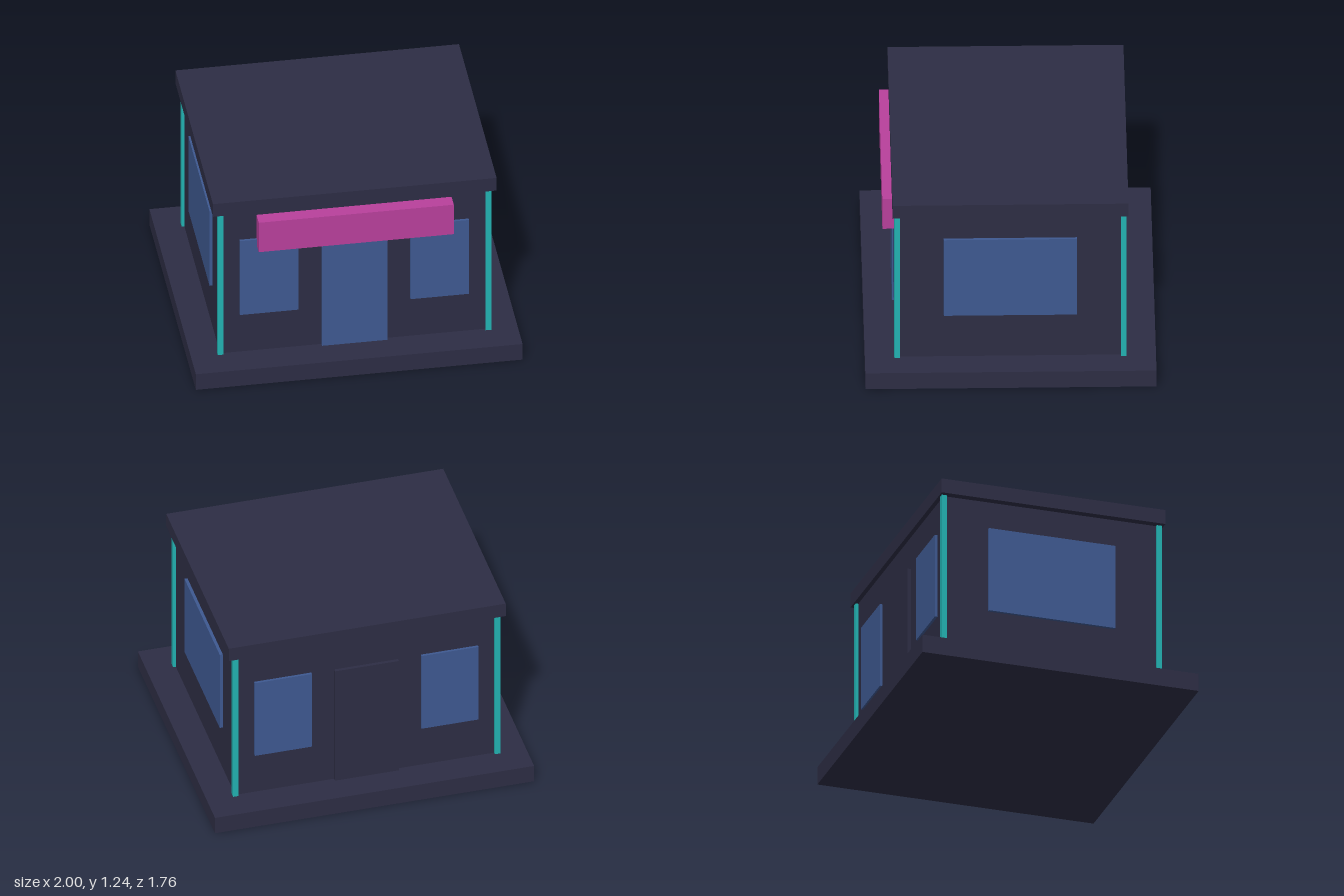
import * as THREE from 'three';

const material = (name, color) => {
  const m = new THREE.MeshStandardMaterial({ color });
  m.name = name;
  return m;
};

export function createModel() {
  const model = new THREE.Group();
  model.name = 'shop';
  const dark = material('dark slate', 0x2d2d44);
  const blue = material('window blue', 0x3e5991);
  const pink = material('sign pink', 0xb8409b);
  const teal = material('trim teal', 0x22b2b2);

  // Box given by its [min, max] range on each axis
  const box = (name, mat, [x0, x1], [y0, y1], [z0, z1]) => {
    const mesh = new THREE.Mesh(new THREE.BoxGeometry(x1 - x0, y1 - y0, z1 - z0), mat);
    mesh.position.set((x0 + x1) / 2, (y0 + y1) / 2, (z0 + z1) / 2);
    mesh.name = name;
    model.add(mesh);
    return mesh;
  };
  const span = (centre, half) => [centre - half, centre + half];

  const floorY = 0.115, eaveY = 1.147;
  const wallX = 0.82, wallZ = 0.685;

  // Main masses
  box('base', dark, [-1, 1], [0, floorY], [-0.88, 0.88]);
  box('walls', dark, [-wallX, wallX], [floorY, eaveY], [-wallZ, wallZ]);
  box('roof', dark, [-0.868, 0.868], [eaveY, 1.24], [-0.713, 0.713]);

  for (const sx of [-1, 1]) {
    const side = sx > 0 ? 'left' : 'right';

    // Wide side windows
    box(`${side}SideWindow`, blue, span(sx * 0.829, 0.01), [0.42, 0.968], [-0.403, 0.403]);

    for (const sz of [-1, 1]) {
      const end = sz > 0 ? 'Front' : 'Back';
      // Corner trim and the windows beside each door
      box(`${side}${end}CornerPost`, teal, span(sx * wallX, 0.017), [floorY, eaveY], span(sz * wallZ, 0.017));
      box(`${side}${end}Window`, blue, span(sx * 0.522, 0.179), [0.395, 0.94], span(sz * 0.691, 0.01));
    }
  }

  // Doors
  box('frontDoor', blue, [-0.2, 0.2], [floorY, 0.935], [0.675, 0.706]);
  box('backDoor', dark, [-0.2, 0.2], [floorY, 0.935], [-0.706, -0.675]);

  // Blank sign above the entrance
  box('signBoard', pink, [-0.597, 0.597], [0.895, 1.112], [0.685, 0.77]);

  return model;
}
